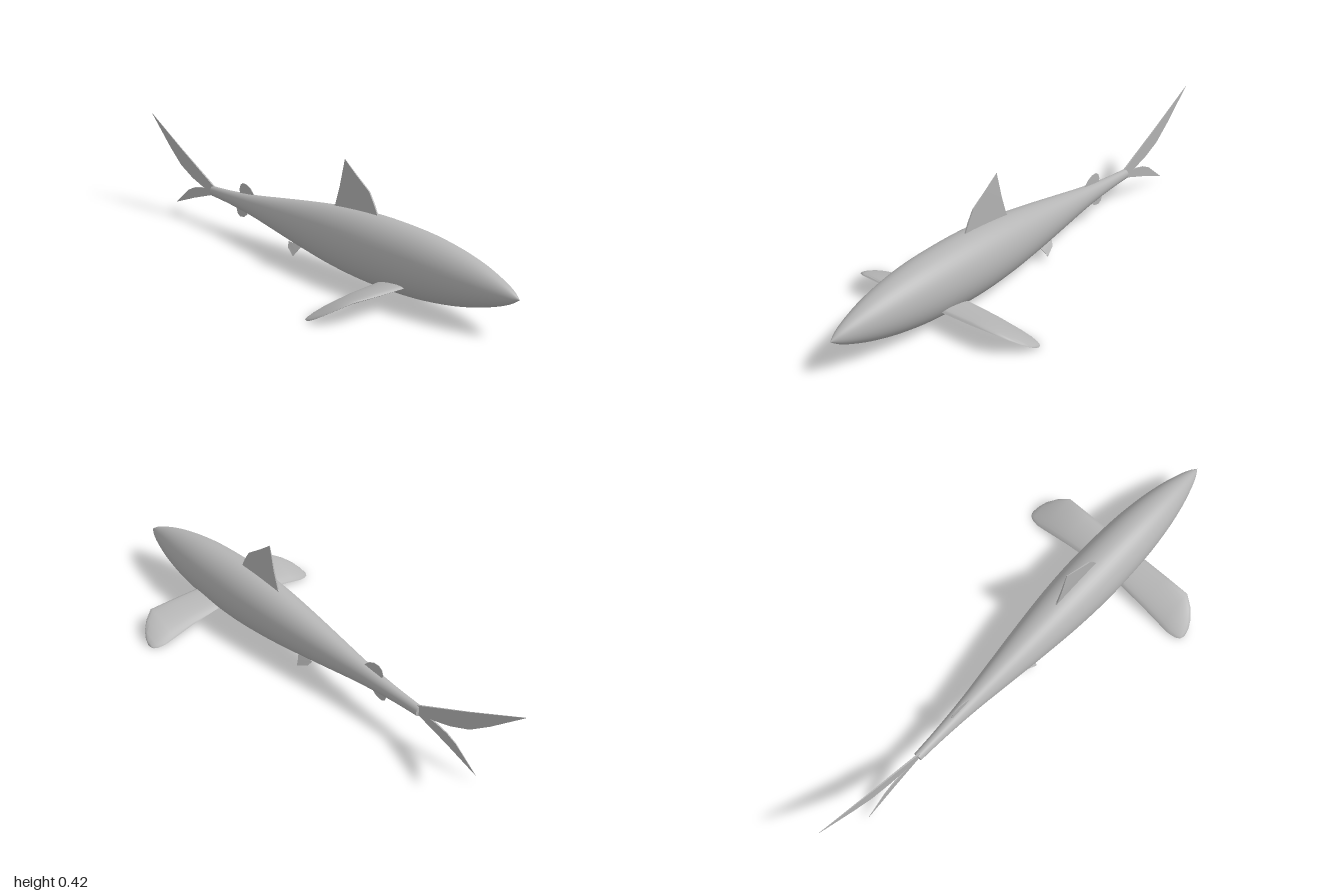
import * as THREE from 'three';
import { toCreasedNormals } from 'three/addons/utils/BufferGeometryUtils.js';

const skin = new THREE.MeshStandardMaterial({ color: 0xb4b4b4 });
skin.name = 'grey skin';

const V2 = (p) => new THREE.Vector2(p[0], p[1]);

function addPart(group, name, geometry) {
  const mesh = new THREE.Mesh(geometry, skin);
  mesh.name = name;
  group.add(mesh);
  return mesh;
}

// Thin plate in the xy plane, thinning from its root to a sharp far end
function plateFin(points, root, thickness = 0.007) {
  const g = new THREE.ExtrudeGeometry(new THREE.Shape(points.map(V2)), {
    depth: thickness, bevelEnabled: false,
  });
  g.translate(0, 0, -thickness / 2);
  const r = V2(root);
  const reach = Math.max(...points.map((p) => V2(p).distanceTo(r)));
  const pos = g.attributes.position;
  for (let i = 0; i < pos.count; i++) {
    const d = Math.hypot(pos.getX(i) - r.x, pos.getY(i) - r.y) / reach;
    pos.setZ(i, pos.getZ(i) * (1 - 0.8 * d));
  }
  g.computeVertexNormals();
  return g;
}

// Closed skin over rings of equal size, counter-clockwise about the loft direction
function loft(rings) {
  const n = rings[0].length;
  const pos = rings.flat().flatMap((p) => p.toArray());
  const index = [];
  for (let i = 0; i < rings.length - 1; i++) {
    for (let j = 0; j < n; j++) {
      const a = i * n + j, b = i * n + ((j + 1) % n);
      index.push(a, b, b + n, a, b + n, a + n);
    }
  }
  const last = (rings.length - 1) * n;
  for (let j = 1; j < n - 1; j++) {
    index.push(0, j + 1, j, last, last + j, last + j + 1);
  }
  const g = new THREE.BufferGeometry();
  g.setAttribute('position', new THREE.Float32BufferAttribute(pos, 3));
  g.setIndex(index);
  return toCreasedNormals(g, 0.9);
}

// Pectoral fin: z, leading x and y, trailing x and y, bulge
const pectoralStations = [
  [0.06, 0.59, 0.072, 0.455, 0.05, 0.015],
  [0.2, 0.59, 0.074, 0.448, 0.034, 0.017],
  [0.3, 0.588, 0.077, 0.442, 0.016, 0.015],
  [0.34, 0.562, 0.058, 0.441, 0.008, 0.011],
  [0.37, 0.532, 0.037, 0.447, 0.004, 0.007],
  [0.385, 0.505, 0.02, 0.456, 0.004, 0.004],
  [0.391, 0.482, 0.009, 0.469, 0.006, 0.001],
];

function pectoralFin(side) {
  const steps = 20;
  return loft(pectoralStations.map(([z, xl, yl, xt, yt, bulge]) => {
    const ring = [];
    for (let j = 0; j < steps; j++) {
      const a = side * (j / steps) * Math.PI * 2;
      const t = (1 + Math.cos(a)) / 2;
      const s = Math.sin(a);
      ring.push(new THREE.Vector3(
        xt + (xl - xt) * t,
        yt + (yl - yt) * t + bulge * s * (s > 0 ? 1 : 0.3),
        side * z,
      ));
    }
    return ring;
  }));
}

export function createModel() {
  const group = new THREE.Group();
  group.name = 'shark';

  // Spindle body turned along x, narrower than tall
  const outline = new THREE.SplineCurve([
    [0.02, -0.57], [0.027, -0.45], [0.042, -0.3], [0.064, -0.15], [0.089, 0.02],
    [0.111, 0.2], [0.121, 0.38], [0.115, 0.58], [0.098, 0.72], [0.074, 0.83],
    [0.048, 0.91], [0.024, 0.965], [0, 1],
  ].map(V2)).getPoints(60);
  outline.forEach((p) => { p.x = Math.max(p.x, 0); });
  const body = new THREE.LatheGeometry(outline, 48);
  body.rotateZ(-Math.PI / 2);
  body.scale(1, 1, 0.83);
  body.translate(0, 0.135, 0);
  addPart(group, 'body', body);

  // Flat end of the tail stalk
  const stalkEnd = new THREE.CircleGeometry(0.02, 48);
  stalkEnd.rotateY(-Math.PI / 2);
  stalkEnd.scale(1, 1, 0.83);
  stalkEnd.translate(-0.57, 0.135, 0);
  addPart(group, 'stalkEnd', stalkEnd);

  // Upright fins on the centre line
  addPart(group, 'dorsalFin', plateFin([
    [0.15, 0.22], [0.17, 0.25], [0.192, 0.32], [0.215, 0.42], [0.275, 0.375],
    [0.34, 0.33], [0.365, 0.29], [0.39, 0.24],
  ], [0.27, 0.23], 0.01));
  addPart(group, 'upperTailLobe', plateFin([
    [-0.55, 0.15], [-0.78, 0.267], [-1, 0.385], [-0.87, 0.265], [-0.79, 0.2],
    [-0.71, 0.162], [-0.63, 0.137], [-0.55, 0.128],
  ], [-0.55, 0.14]));
  addPart(group, 'lowerTailLobe', plateFin([
    [-0.55, 0.142], [-0.65, 0.133], [-0.7, 0.122], [-0.74, 0.104],
    [-0.835, 0.03], [-0.7, 0.078], [-0.55, 0.125],
  ], [-0.55, 0.135]));
  addPart(group, 'secondDorsalFin', plateFin([
    [-0.38, 0.15], [-0.392, 0.18], [-0.385, 0.2], [-0.37, 0.21], [-0.345, 0.209],
    [-0.32, 0.197], [-0.3, 0.177], [-0.3, 0.15],
  ], [-0.34, 0.15]));
  addPart(group, 'analFin', plateFin([
    [-0.4, 0.125], [-0.412, 0.1], [-0.406, 0.08], [-0.39, 0.07], [-0.365, 0.074],
    [-0.345, 0.09], [-0.335, 0.125],
  ], [-0.37, 0.125]));

  // Paired fins
  for (const [label, side] of [['left', -1], ['right', 1]].map(([, s]) => [s < 0 ? 'far' : 'near', s])) {
    addPart(group, `${label}PectoralFin`, pectoralFin(side));

    const pelvic = plateFin([
      [-0.055, 0], [-0.045, -0.022], [0, -0.047], [0.008, -0.025], [0.02, 0],
    ], [-0.015, 0], 0.005);
    pelvic.rotateX(-side * 0.6);
    pelvic.translate(0, 0.06, side * 0.03);
    addPart(group, `${label}PelvicFin`, pelvic);
  }

  return group;
}
